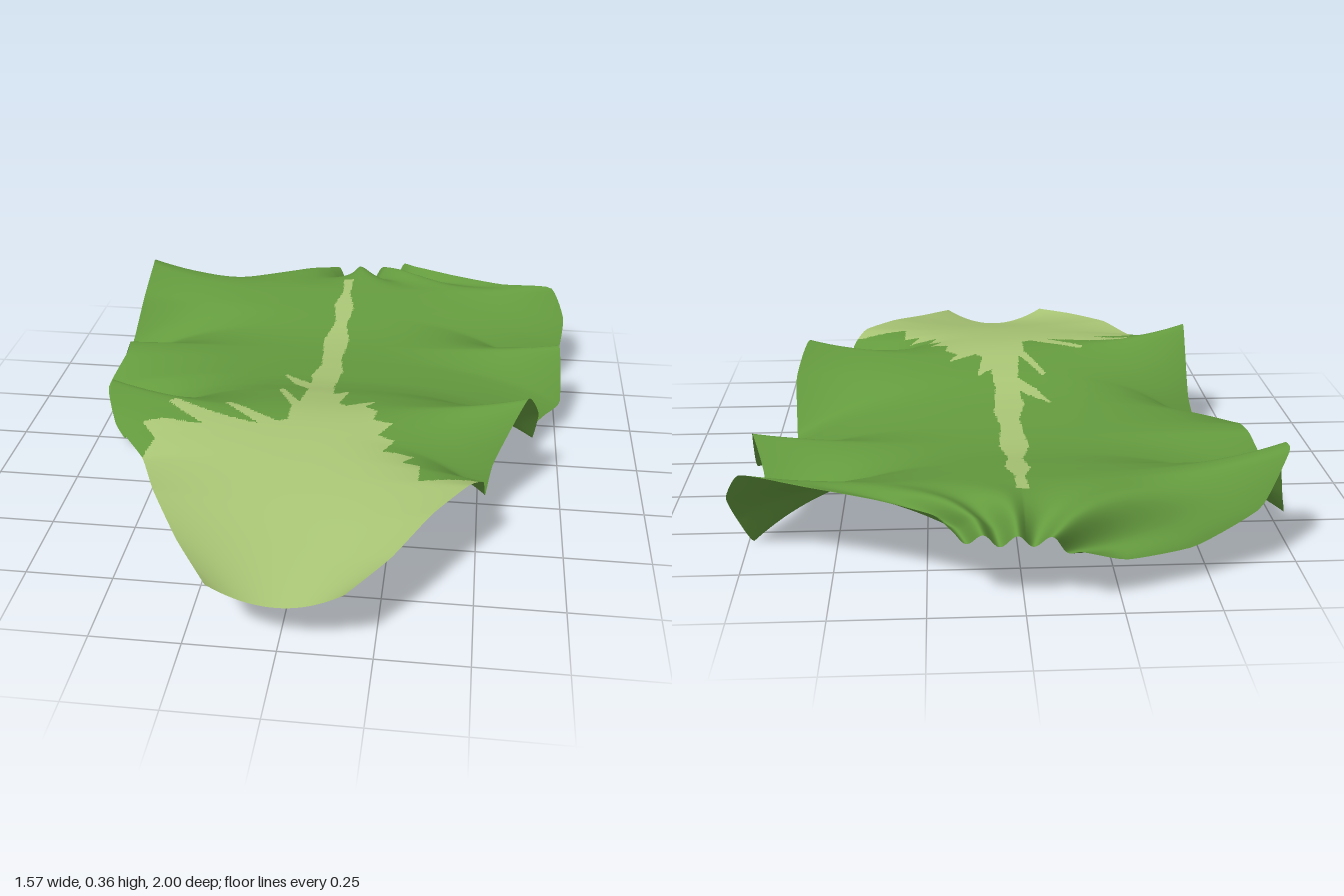
import * as THREE from 'three';

// Edge and midline control points: [x, y, z], from the stalk end to the tip
const LEFT = [
  [0.175, 0.2, 1], [0.28, 0.222, 0.86], [0.375, 0.255, 0.7], [0.47, 0.265, 0.56], [0.51, 0.228, 0.48],
  [0.52, 0.12, 0.38], [0.54, 0.19, 0.31], [0.63, 0.347, 0.2], [0.67, 0.25, 0.11], [0.665, 0.1, 0],
  [0.66, 0.095, -0.07], [0.71, 0.09, -0.17], [0.76, 0.1, -0.25], [0.75, 0.25, -0.36], [0.71, 0.15, -0.45],
  [0.735, 0.002, -0.55], [0.77, 0.11, -0.62], [0.78, 0.2, -0.685], [0.73, 0.29, -0.745], [0.56, 0.27, -0.79],
  [0.375, 0.255, -0.86], [0.23, 0.24, -0.93], [0.19, 0.225, -0.98],
];
const RIGHT = [
  [-0.18, 0.2, 1], [-0.285, 0.225, 0.85], [-0.39, 0.25, 0.665], [-0.46, 0.25, 0.505], [-0.55, 0.278, 0.4],
  [-0.6, 0.325, 0.31], [-0.605, 0.36, 0.25], [-0.61, 0.15, 0.13], [-0.64, 0.045, 0.07], [-0.69, 0.06, 0],
  [-0.73, 0.14, -0.09], [-0.7, 0.2, -0.235], [-0.71, 0.2, -0.315], [-0.76, 0.09, -0.405], [-0.785, 0.018, -0.475],
  [-0.76, 0.1, -0.535], [-0.73, 0.235, -0.6], [-0.71, 0.33, -0.69], [-0.71, 0.325, -0.74], [-0.625, 0.19, -0.81],
  [-0.445, 0.107, -0.865], [-0.26, 0.103, -0.925], [-0.14, 0.155, -0.98],
];
const MIDLINE = [
  [0, 0.143, 1], [0, 0.198, 0.8], [0, 0.25, 0.6], [0, 0.285, 0.4], [0, 0.293, 0.25], [0, 0.27, 0.1],
  [0, 0.243, 0], [0, 0.225, -0.1], [0, 0.21, -0.3], [0, 0.213, -0.45], [0, 0.236, -0.6],
  [0, 0.258, -0.75], [0, 0.255, -0.87], [0, 0.2, -0.98],
];
// Outline of the pale stalk with its branching veins: [x, z]
const PALE = [
  [-1, 1.1], [-1, 0.54], [-0.46, 0.5], [-0.44, 0.43], [-0.49, 0.37], [-0.43, 0.35], [-0.31, 0.36],
  [-0.43, 0.28], [-0.41, 0.26], [-0.23, 0.32], [-0.15, 0.34], [-0.27, 0.24], [-0.25, 0.23], [-0.1, 0.32],
  [-0.07, 0.31], [-0.07, 0.22], [-0.13, 0.08], [-0.12, 0.06], [-0.05, 0.19], [-0.04, 0.05], [-0.09, 0],
  [-0.14, -0.1], [-0.04, -0.02], [-0.05, -0.1], [-0.03, -0.2], [-0.045, -0.4], [-0.02, -0.52], [-0.035, -0.62],
  [-0.015, -0.7], [-0.02, -0.8], [0.015, -0.8], [0.012, -0.7], [0.035, -0.6], [0.02, -0.5], [0.04, -0.4],
  [0.03, -0.25], [0.045, -0.15], [0.035, 0], [0.045, 0.1], [0.09, 0.06], [0.07, 0.18], [0.09, 0.2],
  [0.18, 0.15], [0.15, 0.2], [0.19, 0.23], [0.18, 0.28], [0.24, 0.29], [0.2, 0.35], [0.25, 0.36],
  [0.22, 0.42], [0.31, 0.41], [0.28, 0.46], [0.33, 0.46], [0.33, 0.55], [0.47, 0.51], [1, 0.51], [1, 1.1],
];

// Join a line of points with rounded bends and return a lookup of [x, y] by z
function profile(points, roundness) {
  const curve = new THREE.CatmullRomCurve3(points.map((p) => new THREE.Vector3(...p)), false, 'catmullrom', roundness);
  const pts = curve.getPoints(500);
  return (z) => {
    let i = 1;
    while (i < pts.length - 1 && pts[i].z > z) i++;
    const a = pts[i - 1], b = pts[i];
    const k = THREE.MathUtils.clamp((a.z - z) / Math.max(a.z - b.z, 1e-6), 0, 1);
    return [a.x + (b.x - a.x) * k, a.y + (b.y - a.y) * k];
  };
}

function isPale(x, z) {
  let inside = false;
  PALE.forEach(([ax, az], i) => {
    const [bx, bz] = PALE[(i + 1) % PALE.length];
    if ((az > z) !== (bz > z) && x < ax + ((z - az) / (bz - az)) * (bx - ax)) inside = !inside;
  });
  return inside;
}

export function createModel() {
  const group = new THREE.Group();
  group.name = 'leaf';
  const green = new THREE.MeshStandardMaterial({ color: 0x649a3e, side: THREE.DoubleSide });
  green.name = 'leaf green';
  const pale = new THREE.MeshStandardMaterial({ color: 0xa8c474, side: THREE.DoubleSide });
  pale.name = 'pale stalk green';

  const left = profile(LEFT, 0.25), right = profile(RIGHT, 0.25), mid = profile(MIDLINE, 0.5);
  const ROWS = 250, COLS = 200;
  const positions = [];

  // Each row spans both edges; the edge ripples fade towards the midline
  for (let r = 0; r <= ROWS; r++) {
    const z = 1 - (1.98 * r) / ROWS;
    const l = left(z), m = mid(z), e = right(z);
    const tip = THREE.MathUtils.smoothstep(-z, 0.72, 0.98);
    // A round trough at the stalk, ripples held closer to the edge on the blade
    const power = 3 - THREE.MathUtils.smoothstep(z, 0.3, 0.7);
    for (let c = 0; c <= COLS; c++) {
      const u = (2 * c) / COLS - 1;
      const side = u < 0 ? e : l;
      // Small pleats fanning out from the tip
      const pleat = Math.cos((2 * Math.PI * ((u < 0 ? 0.14 : 0.19) * u - 0.022)) / 0.085);
      positions.push(
        Math.abs(u) * side[0],
        m[1] + (side[1] - m[1]) * Math.pow(Math.abs(u), power) + 0.025 * tip * pleat,
        z - 0.02 * tip * tip * pleat,
      );
    }
  }

  // Sort the cells into blade and stalk
  const blade = [], stalk = [];
  for (let r = 0; r < ROWS; r++) {
    for (let c = 0; c < COLS; c++) {
      const a = r * (COLS + 1) + c, b = a + 1, d = a + COLS + 1, f = d + 1;
      for (const tri of [[a, b, f], [a, f, d]]) {
        const x = tri.reduce((s, i) => s + positions[i * 3], 0) / 3;
        const z = tri.reduce((s, i) => s + positions[i * 3 + 2], 0) / 3;
        (isPale(x, z) ? stalk : blade).push(...tri);
      }
    }
  }

  // Normals come from the whole surface, so both parts shade as one
  const whole = new THREE.BufferGeometry();
  whole.setAttribute('position', new THREE.Float32BufferAttribute(positions, 3));
  whole.setIndex([...blade, ...stalk]);
  whole.computeVertexNormals();
  const addPart = (name, index, material) => {
    const geometry = whole.clone();
    geometry.setIndex(index);
    const mesh = new THREE.Mesh(geometry, material);
    mesh.name = name;
    group.add(mesh);
  };
  addPart('blade', blade, green);
  addPart('stalkAndMidrib', stalk, pale);
  return group;
}
